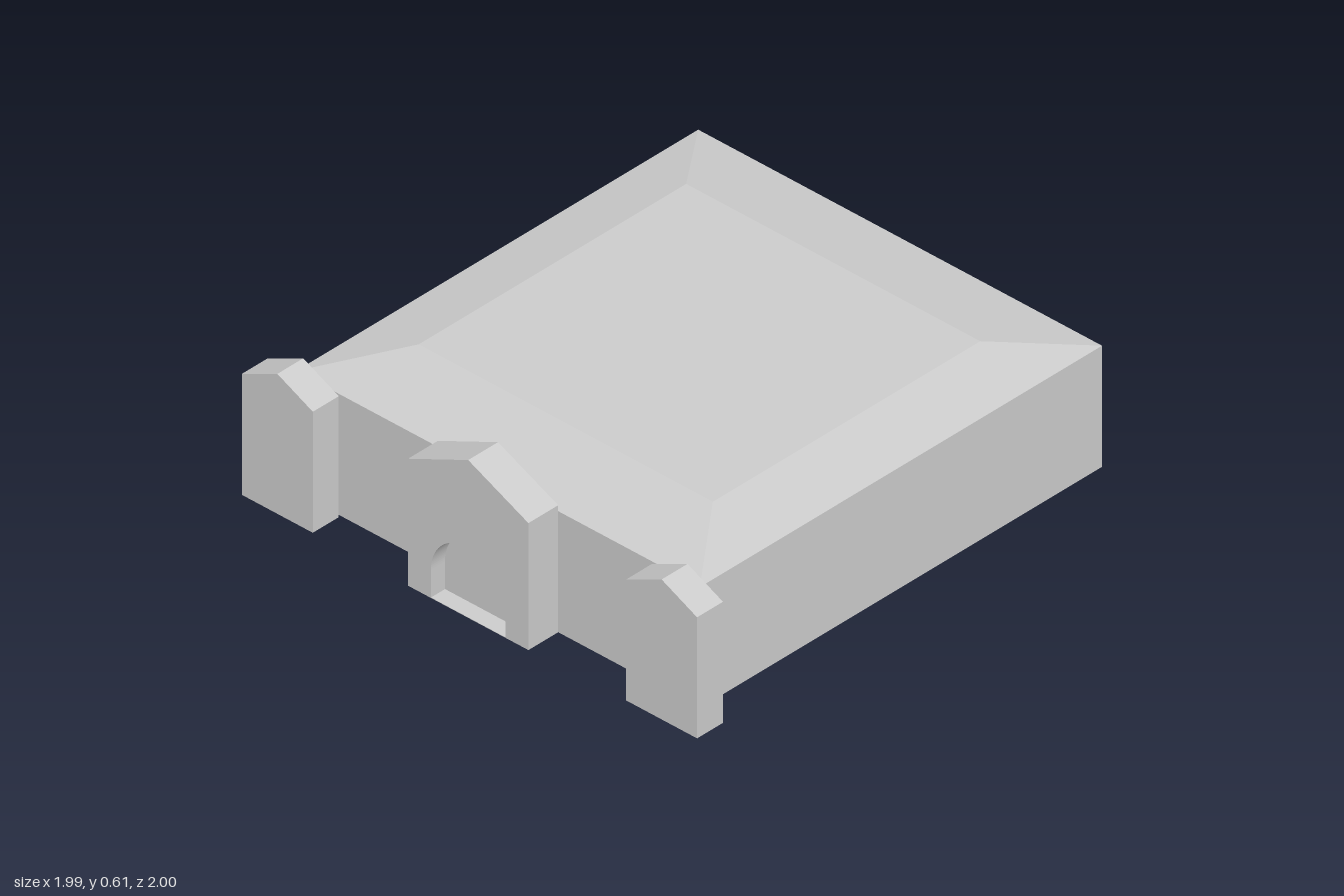
import * as THREE from 'three';

const material = new THREE.MeshStandardMaterial({ color: 0xcccccc, flatShading: true });

function addMesh(parent, name, geometry) {
  const mesh = new THREE.Mesh(geometry, material);
  mesh.name = name;
  parent.add(mesh);
  return mesh;
}

// Pentagonal outline of a gabled front
function gableShape(halfWidth, eaves, apex) {
  return new THREE.Shape([
    new THREE.Vector2(-halfWidth, 0),
    new THREE.Vector2(halfWidth, 0),
    new THREE.Vector2(halfWidth, eaves),
    new THREE.Vector2(0, apex),
    new THREE.Vector2(-halfWidth, eaves),
  ]);
}

function extrude(shape, zBack, zFront) {
  return new THREE.ExtrudeGeometry(shape, {
    depth: zFront - zBack, bevelEnabled: false, curveSegments: 32,
  }).translate(0, 0, zBack);
}

// Walls and shallow hipped roof with a flat top, in one box of two tiers
function hallGeometry() {
  const eaves = 0.467, ridge = 0.526;
  const box = new THREE.BoxGeometry(1.766, 2, 1.862, 1, 2, 1);
  const p = box.attributes.position;
  for (let i = 0; i < p.count; i++) {
    const y = p.getY(i), x = p.getX(i), back = p.getZ(i) < 0;
    if (y > 0.5) p.setXYZ(i, Math.sign(x) * 0.643, ridge, back ? -0.69 : 0.548);
    else p.setXYZ(i, x, y < -0.5 ? 0 : eaves, back ? -1 : 0.862);
  }
  const geometry = box.toNonIndexed();
  geometry.computeVertexNormals();
  return geometry;
}

export function createModel() {
  const model = new THREE.Group();
  model.name = 'gabledHall';

  addMesh(model, 'hall', hallGeometry());

  // Central entrance: solid rear, front layer pierced by a round arch
  const entrance = new THREE.Group();
  entrance.name = 'entrance';
  model.add(entrance);
  const recess = 0.935;
  addMesh(entrance, 'entranceRear', extrude(gableShape(0.263, 0.49, 0.609), 0.862, recess));

  const front = gableShape(0.263, 0.49, 0.609);
  const radius = 0.163, spring = 0.11, sill = 0.002;
  const arch = new THREE.Path();
  arch.moveTo(-radius, sill);
  arch.lineTo(-radius, spring);
  arch.absarc(0, spring, radius, Math.PI, 0, true);
  arch.lineTo(radius, sill);
  arch.closePath();
  front.holes.push(arch);
  addMesh(entrance, 'entranceArch', extrude(front, recess, 1));

  // Gabled corner pavilions
  for (const [name, x] of [['leftPavilion', 0.838], ['rightPavilion', -0.842]]) {
    const pavilion = addMesh(model, name, extrude(gableShape(0.155, 0.467, 0.54), 0.872, 0.992));
    pavilion.position.x = x;
  }

  return model;
}
